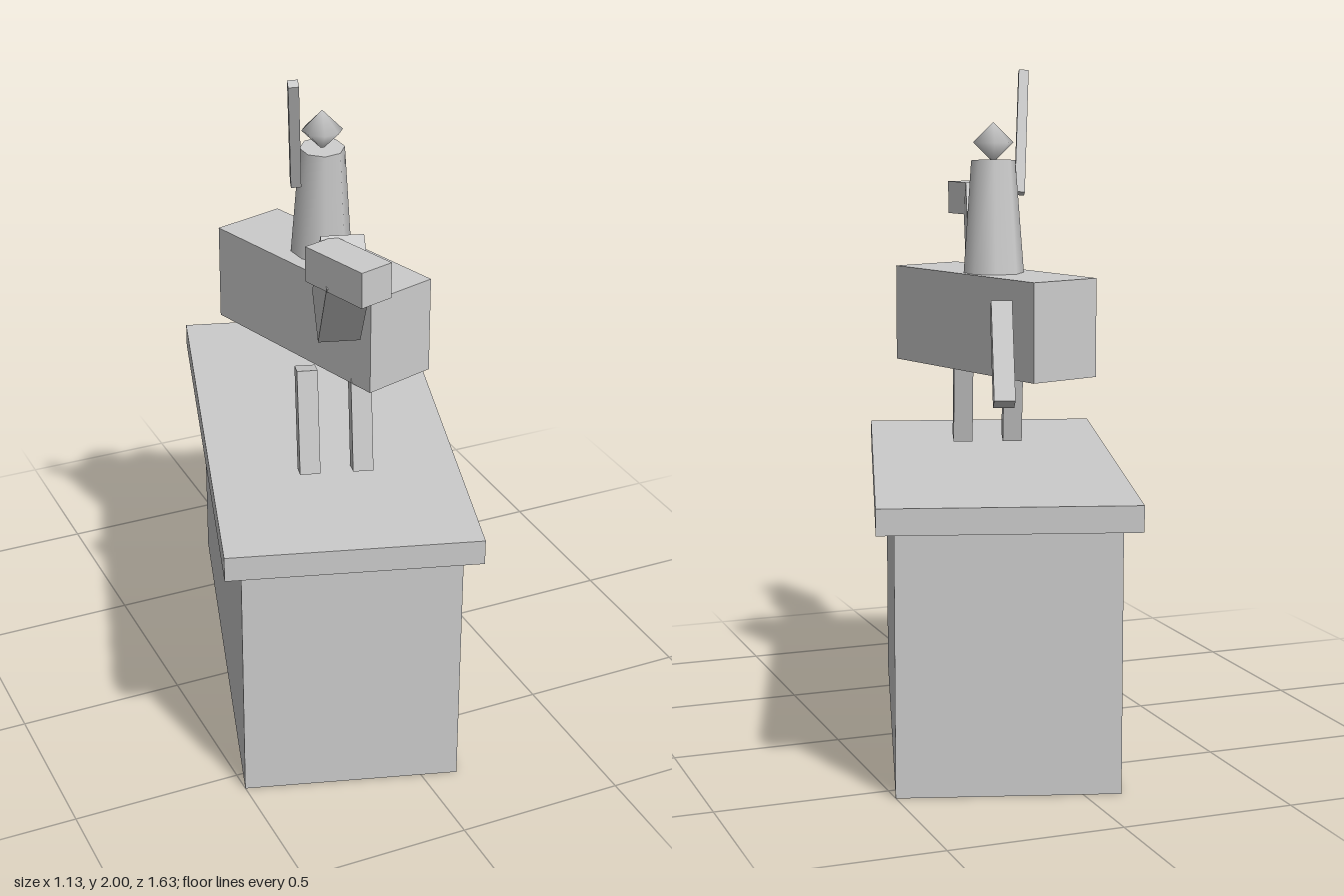
import * as THREE from 'three';

export function createModel() {
  const model = new THREE.Group();
  model.name = 'equestrianStatue';
  const stone = new THREE.MeshStandardMaterial({ color: 0xcccccc, side: THREE.DoubleSide });
  stone.name = 'stone';

  // Everything is laid out in a frame turned about the vertical axis
  const TURN = 0.293;
  const frame = new THREE.Group();
  frame.name = 'statueFrame';
  frame.rotation.y = -TURN;
  model.add(frame);

  function add(name, geometry, pos, rot = [0, 0, 0]) {
    const mesh = new THREE.Mesh(geometry, stone);
    mesh.name = name;
    mesh.position.set(...pos);
    mesh.rotation.set(...rot);
    frame.add(mesh);
    return mesh;
  }
  const box = (w, h, d) => new THREE.BoxGeometry(w, h, d);

  // Plinth: four walls, open underneath, with an overhanging slab
  const W = 0.63, L = 1.378, H = 0.757;
  for (const s of [-1, 1]) {
    add('plinthEndWall', new THREE.PlaneGeometry(W, H), [0, H / 2, s * L / 2], [0, s > 0 ? 0 : Math.PI, 0]);
    add('plinthSideWall', new THREE.PlaneGeometry(L, H), [s * W / 2, H / 2, 0], [0, s * Math.PI / 2, 0]);
  }
  add('plinthSlab', box(0.73, 0.075, 1.479), [0, 0.7925, 0]);

  // Horse: torso and muzzle are turned across the plinth
  add('horseBody', box(0.231, 0.29, 0.688), [0, 1.255, 0], [0, 2 * TURN, 0]);
  add('horseNeck', box(0.12, 0.31, 0.165), [0, 1.47, 0.4075], [0.64, 0, 0]);
  add('horseHead', box(0.106, 0.103, 0.23), [0, 1.587, 0.553], [0, 2 * TURN, 0]);
  add('horseTail', box(0.06, 0.3, 0.062), [0, 1.205, -0.416], [0.48, 0, 0]);
  for (const s of [-1, 1]) {
    add('frontLeg', box(0.06, 0.312, 0.066), [s * 0.078, 0.995, 0.277], [-0.215, 0, 0]);
  }

  // Rider with raised sword
  add('riderTorso', new THREE.CylinderGeometry(0.066, 0.091, 0.345, 8), [0, 1.56, -0.013], [0.078, 0, 0]);
  add('riderHead', new THREE.SphereGeometry(0.06, 8, 2), [0, 1.785, 0]);
  add('sword', box(0.03, 0.395, 0.03), [-0.092, 1.812, 0.104], [0.418, 0, 0.06]);

  return model;
}
